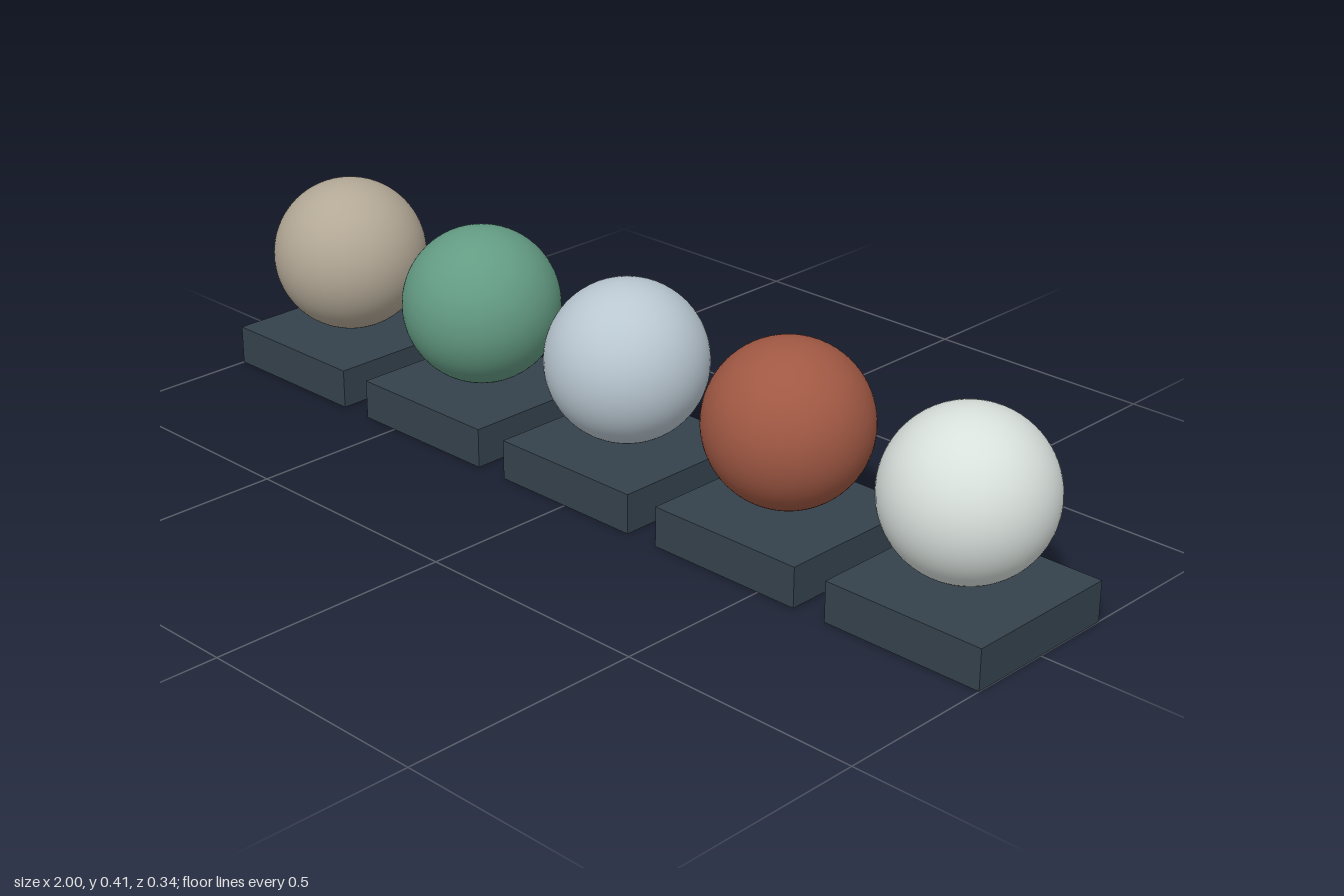
import * as THREE from 'three';

const BASE_WIDTH = 0.342, BASE_HEIGHT = 0.082;
const RADIUS = 0.162, CENTRE_Y = 0.253, SPACING = 0.4145;

function material(name, color) {
  const m = new THREE.MeshStandardMaterial({ color });
  m.name = name;
  return m;
}

export function createModel() {
  const model = new THREE.Group();
  model.name = 'sphereRow';

  const slate = material('slate', 0x35424c);
  const finishes = [
    ['sand', 0xb3a896],
    ['green', 0x639b83],
    ['paleBlue', 0xb9c7d1],
    ['rust', 0xa05843],
    ['offWhite', 0xd8e0dc],
  ].map(([name, color]) => material(name, color));

  const baseGeometry = new THREE.BoxGeometry(BASE_WIDTH, BASE_HEIGHT, BASE_WIDTH);
  const ballGeometry = new THREE.SphereGeometry(RADIUS, 64, 40);

  // One square plinth with a ball floating just above it, per finish
  finishes.forEach((finish, i) => {
    const sample = new THREE.Group();
    sample.name = `${finish.name}Sample`;
    sample.position.x = (i - 2) * SPACING;

    const base = new THREE.Mesh(baseGeometry, slate);
    base.name = 'plinth';
    base.position.y = BASE_HEIGHT / 2;

    const ball = new THREE.Mesh(ballGeometry, finish);
    ball.name = 'ball';
    ball.position.y = CENTRE_Y;

    sample.add(base, ball);
    model.add(sample);
  });

  return model;
}
